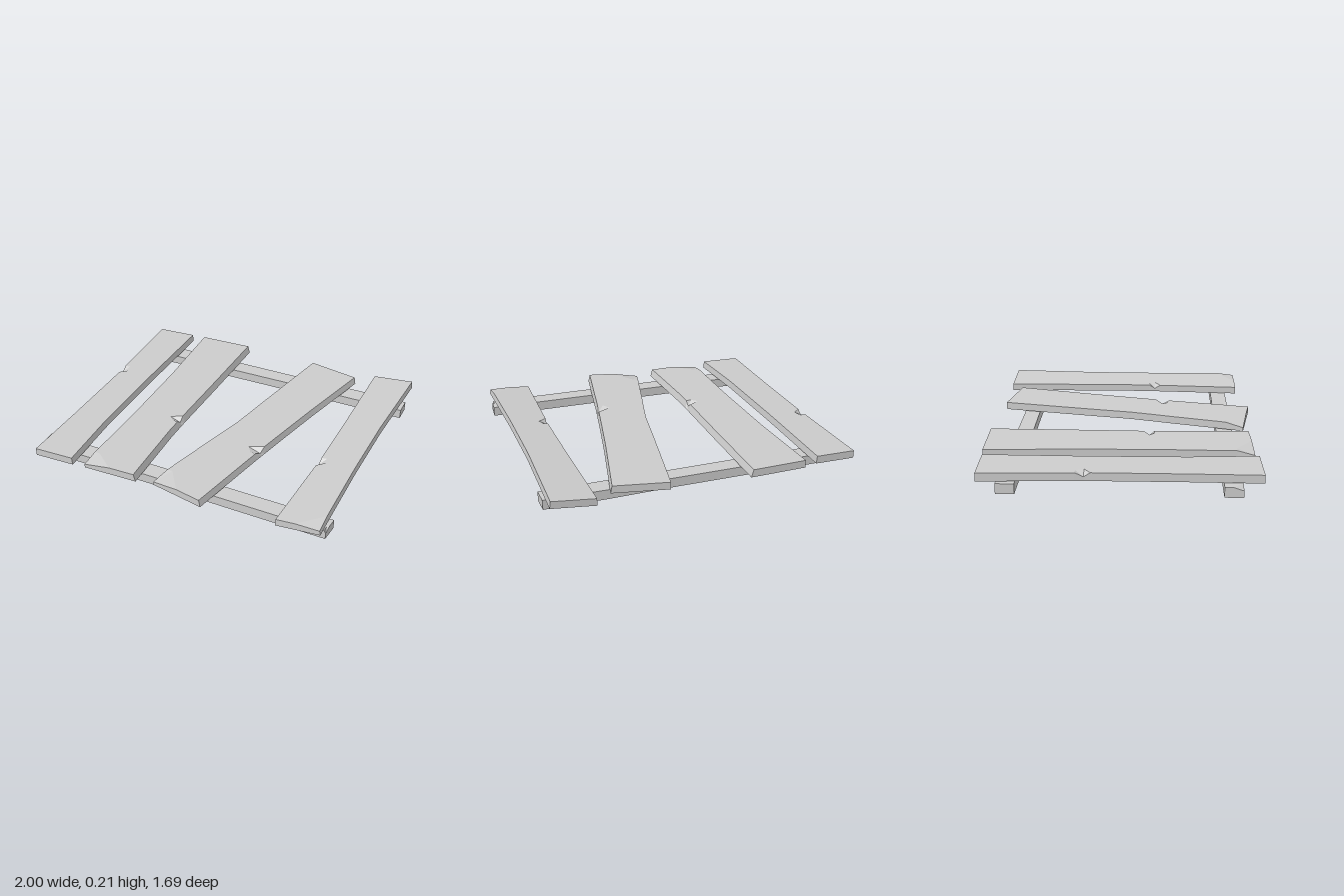
import * as THREE from 'three';

const material = new THREE.MeshStandardMaterial({ color: 0xcccccc, flatShading: true });

// Lofts a board through stations [leftX, leftZ, rightX, rightZ, leftChip, rightChip, chipWidth].
// The underside height is base + slope * x; chips lower the top edge corner.
function board(name, { base, slope, thick, lean = 0 }, stations) {
  const rings = stations.map(([lx, lz, rx, rz, chipL = 0, chipR = 0, width = 0.06]) => {
    const across = new THREE.Vector2(rx - lx, rz - lz);
    const length = across.length();
    across.normalize();
    const point = (d, up) => {
      const x = lx + across.x * d;
      return [x, base + slope * x + up, lz + across.y * d];
    };
    return [
      point(0, 0), point(length, 0),
      point(length - lean, thick - chipR), point(length - lean - width * (chipR ? 1 : 0.6), thick),
      point(width * (chipL ? 1 : 0.6), thick), point(0, thick - chipL),
    ];
  });
  const positions = [];
  const tri = (a, b, c) => positions.push(...a, ...b, ...c);
  for (let s = 0; s < rings.length - 1; s++) {
    const near = rings[s], far = rings[s + 1];
    for (let i = 0; i < 6; i++) {
      const j = (i + 1) % 6;
      tri(near[i], far[i], near[j]);
      tri(near[j], far[i], far[j]);
    }
  }
  // End grain
  const first = rings[0], last = rings[rings.length - 1];
  for (let i = 1; i < 5; i++) {
    tri(first[0], first[i], first[i + 1]);
    tri(last[0], last[i + 1], last[i]);
  }
  const geometry = new THREE.BufferGeometry();
  geometry.setAttribute('position', new THREE.Float32BufferAttribute(positions, 3));
  geometry.computeVertexNormals();
  const mesh = new THREE.Mesh(geometry, material);
  mesh.name = name;
  return mesh;
}

export function createModel() {
  const group = new THREE.Group();
  group.name = 'brokenPallet';

  // Two sloping rails underneath, running left to right
  const rail = { base: 0.035, slope: 0.035, thick: 0.062 };
  group.add(
    board('backRail', rail, [
      [-0.99, -0.7, -0.99, -0.59],
      [-0.25, -0.695, -0.25, -0.59],
      [0.2, -0.693, 0.2, -0.592],
      [0.6, -0.7, 0.6, -0.59],
      [1, -0.695, 1, -0.59],
    ]),
    board('frontRail', rail, [
      [-1, 0.595, -1, 0.705, 0, 0.02, 0.06],
      [-0.94, 0.595, -0.94, 0.705],
      [-0.2, 0.6, -0.2, 0.705],
      [0.3, 0.605, 0.3, 0.71],
      [0.97, 0.61, 0.97, 0.715],
      [0.99, 0.61, 0.98, 0.715, 0, 0.02, 0.05],
    ]),
  );

  // Four worn slats, each running front to back
  group.add(
    board('slatOuterRight', { base: 0.125, slope: 0.06, thick: 0.05, lean: 0.004 }, [
      [-0.95, 0.825, -0.675, 0.82],
      [-0.945, 0.4, -0.7, 0.4],
      [-0.945, -0.16, -0.705, -0.16],
      [-0.945, -0.2, -0.705, -0.2, 0.025, 0, 0.05],
      [-0.948, -0.25, -0.705, -0.25],
      [-0.97, -0.815, -0.7, -0.82],
    ]),
    board('slatInnerRight', { base: 0.105, slope: 0.04, thick: 0.05, lean: 0.014 }, [
      [-0.595, 0.805, -0.23, 0.795, 0.025, 0, 0.18],
      [-0.585, 0.7, -0.235, 0.7],
      [-0.58, 0.3, -0.252, 0.3],
      [-0.58, 0.2, -0.252, 0.2],
      [-0.58, 0.17, -0.252, 0.17, 0, 0.028, 0.07],
      [-0.581, 0.13, -0.252, 0.13],
      [-0.588, -0.3, -0.245, -0.3],
      [-0.615, -0.835, -0.24, -0.845],
    ]),
    board('skewedSlat', { base: 0.104, slope: 0.04, thick: 0.048, lean: 0.01 }, [
      [-0.115, 0.775, 0.24, 0.84, 0.025, 0, 0.18],
      [-0.08, 0.66, 0.272, 0.69],
      [0.02, 0.3, 0.355, 0.3],
      [0.035, 0.25, 0.366, 0.255, 0, 0.028, 0.08],
      [0.05, 0.2, 0.376, 0.21],
      [0.095, 0.04, 0.425, 0],
      [0.15, -0.24, 0.49, -0.27],
      [0.27, -0.825, 0.617, -0.76],
    ]),
    board('slatOuterLeft', { base: 0.022, slope: 0.14, thick: 0.046, lean: 0.006 }, [
      [0.7, 0.79, 0.975, 0.79, 0, 0.015, 0.15],
      [0.706, 0.67, 0.972, 0.67],
      [0.725, 0.24, 0.966, 0.24],
      [0.728, 0.2, 0.966, 0.2, 0.025, 0, 0.05],
      [0.73, 0.16, 0.966, 0.16],
      [0.73, -0.25, 0.97, -0.25],
      [0.725, -0.85, 0.997, -0.845],
    ]),
  );
  return group;
}
